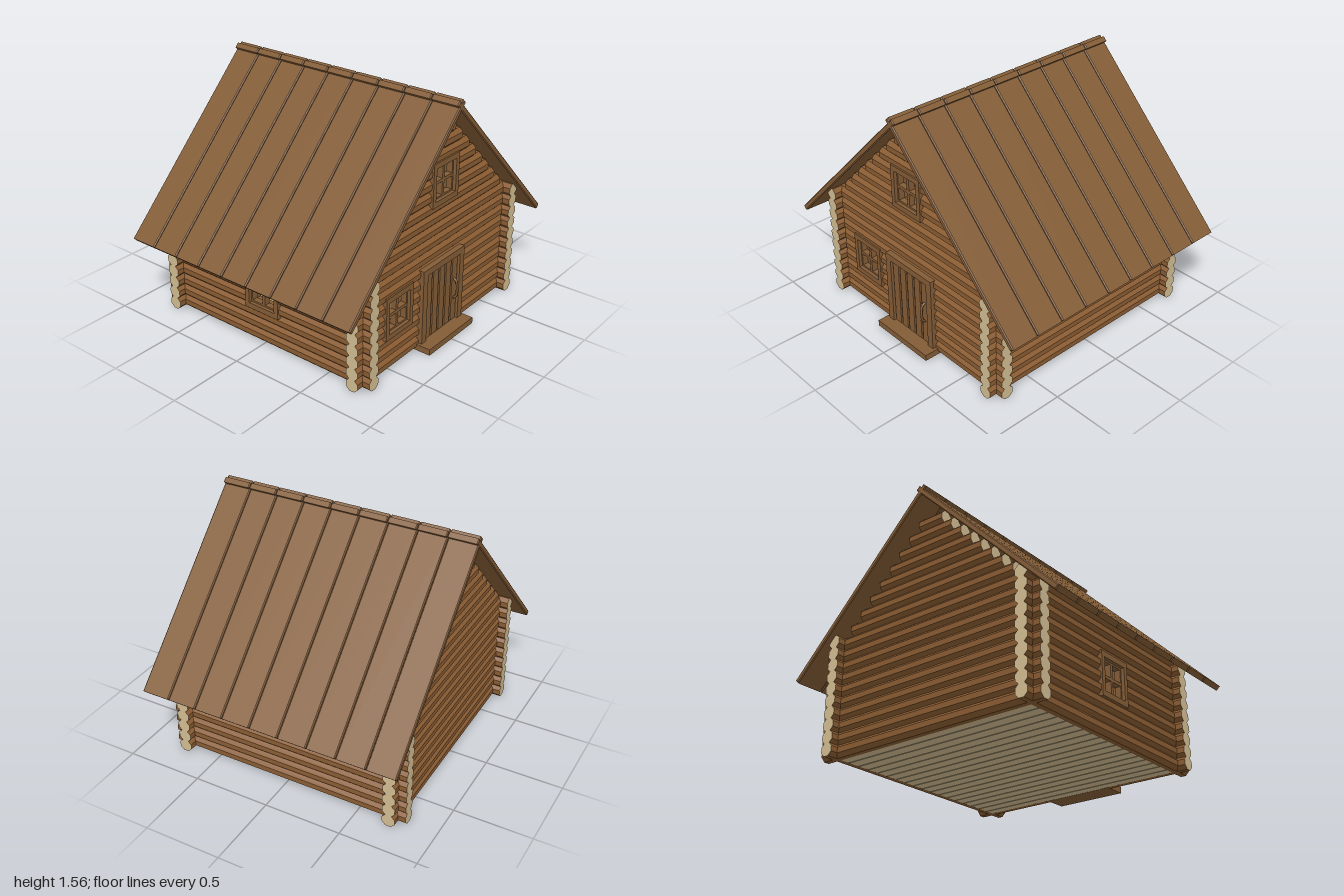
import * as THREE from 'three';

const logWood = new THREE.MeshStandardMaterial({ color: 0x8a5c32 });
logWood.name = 'log wood';
const plankWood = new THREE.MeshStandardMaterial({ color: 0x835c36 });
plankWood.name = 'plank wood';
const cutWood = new THREE.MeshStandardMaterial({ color: 0xd2bd92 });
cutWood.name = 'cut wood';

const WALL = 0.72;       // wall centre line
const LOG_END = 0.81;    // logs run past the corners
const ROW = 0.077;       // log spacing
const R = 0.045;
const rowY = (i) => 0.0425 + ROW * i;

function add(parent, name, geometry, material, x = 0, y = 0, z = 0) {
  const mesh = new THREE.Mesh(geometry, material);
  mesh.name = name;
  mesh.position.set(x, y, z);
  parent.add(mesh);
  return mesh;
}

// Eight-sided log from a to b along x or z, with pale sawn ends
function addLog(parent, name, axis, a, b, y, offset) {
  let g = new THREE.CylinderGeometry(R, R, b - a, 8, 1, false, Math.PI / 8);
  if (axis === 'x') g.rotateZ(Math.PI / 2);
  else g.rotateX(Math.PI / 2);
  g = g.toNonIndexed();
  g.computeVertexNormals();
  const mid = (a + b) / 2;
  add(parent, name, g, [logWood, cutWood, cutWood],
    axis === 'x' ? mid : offset, y, axis === 'x' ? offset : mid);
}

// A row of logs interrupted by openings [from, to]
function addRow(parent, name, axis, half, y, offset, openings) {
  let start = -half;
  for (const [from, to] of openings) {
    addLog(parent, name, axis, start, from, y, offset);
    start = to;
  }
  addLog(parent, name, axis, start, half, y, offset);
}

// Board with chamfered edges
function boardGeometry(w, h, d, b = 0.004) {
  const x = w / 2 - b, y = h / 2 - b;
  const s = new THREE.Shape([
    new THREE.Vector2(-x, -y), new THREE.Vector2(x, -y),
    new THREE.Vector2(x, y), new THREE.Vector2(-x, y)]);
  const g = new THREE.ExtrudeGeometry(s, {
    depth: d - 2 * b, bevelEnabled: true, bevelSize: b, bevelThickness: b, bevelSegments: 1 });
  return g.translate(0, 0, -d / 2 + b);
}

function rectPoints(cx, cy, w, h) {
  return [[-1, -1], [1, -1], [1, 1], [-1, 1]].map(
    ([sx, sy]) => new THREE.Vector2(cx + sx * w / 2, cy + sy * h / 2));
}

// Rectangle with rectangular holes [cx, cy, w, h], centred in depth
function pierced(w, h, holes, depth) {
  const s = new THREE.Shape(rectPoints(0, 0, w, h));
  for (const hole of holes) s.holes.push(new THREE.Path(rectPoints(...hole)));
  return new THREE.ExtrudeGeometry(s, { depth, bevelEnabled: false }).translate(0, 0, -depth / 2);
}

// Open window: deep frame and a four-pane sash
function makeWindow(name) {
  const win = new THREE.Group();
  win.name = name;
  add(win, 'windowFrame', pierced(0.26, 0.28, [[0, 0, 0.2, 0.21]], 0.104), plankWood);
  const panes = [];
  for (const sx of [-1, 1]) for (const sy of [-1, 1]) panes.push([sx * 0.05, sy * 0.052, 0.08, 0.084]);
  add(win, 'windowSash', pierced(0.205, 0.215, panes, 0.04), plankWood, 0, 0, 0.01);
  return win;
}

export function createModel() {
  const cabin = new THREE.Group();
  cabin.name = 'logCabin';

  // Side walls, with one window on the right side
  const walls = new THREE.Group();
  walls.name = 'logWalls';
  cabin.add(walls);
  for (let i = 0; i < 10; i++) {
    addRow(walls, 'leftWallLog', 'z', LOG_END, rowY(i), WALL, []);
    const open = i >= 3 && i <= 5 ? [[-0.115, 0.115]] : [];
    addRow(walls, 'rightWallLog', 'z', LOG_END, rowY(i), -WALL, open);
  }

  // Front and back walls, stepping in under the roof slope
  for (let i = 0; i < 18; i++) {
    const y = rowY(i);
    const half = i < 9 ? LOG_END : 1.485 - (y + 0.042);
    const open = [];
    if (i >= 3 && i <= 5) open.push([-0.543, -0.313]);
    if (i <= 5) open.push([-0.18, 0.18]);
    if (i >= 12 && i <= 14) open.push([-0.115, 0.115]);
    addRow(walls, 'frontWallLog', 'x', half, y, WALL, open);
    addRow(walls, 'backWallLog', 'x', half, y, -WALL, []);
  }

  // Windows
  const lower = makeWindow('lowerFrontWindow');
  lower.position.set(-0.428, 0.363, WALL);
  const upper = makeWindow('gableWindow');
  upper.position.set(0, 1.045, WALL);
  const side = makeWindow('sideWindow');
  side.position.set(-WALL, 0.363, 0);
  side.rotation.y = -Math.PI / 2;
  cabin.add(lower, upper, side);

  // Door of five boards in a frame, with handle and step
  const door = new THREE.Group();
  door.name = 'door';
  cabin.add(door);
  add(door, 'doorBacking', new THREE.BoxGeometry(0.35, 0.46, 0.03), plankWood, 0, 0.265, 0.742);
  for (let i = -2; i <= 2; i++) {
    add(door, 'doorBoard', boardGeometry(0.064, 0.455, 0.03, 0.006), plankWood, i * 0.0675, 0.267, 0.757);
  }
  for (const s of [-1, 1]) {
    add(door, 'doorJamb', new THREE.BoxGeometry(0.046, 0.5, 0.11), plankWood, s * 0.192, 0.285, 0.73);
  }
  add(door, 'doorLintel', new THREE.BoxGeometry(0.43, 0.042, 0.11), plankWood, 0, 0.514, 0.73);
  const grip = new THREE.CatmullRomCurve3([
    new THREE.Vector3(0.134, 0.2, 0.768), new THREE.Vector3(0.134, 0.215, 0.79),
    new THREE.Vector3(0.134, 0.32, 0.79), new THREE.Vector3(0.134, 0.335, 0.768)]);
  add(door, 'doorHandle', new THREE.TubeGeometry(grip, 12, 0.008, 6), plankWood);
  add(cabin, 'doorStep', new THREE.BoxGeometry(0.47, 0.04, 0.15), plankWood, 0, 0.02, 0.783);

  // Floor boards
  const floor = new THREE.Group();
  floor.name = 'floor';
  cabin.add(floor);
  const boards = 18, pitch = 1.44 / boards;
  for (let i = 0; i < boards; i++) {
    add(floor, 'floorBoard', boardGeometry(1.44, 0.03, pitch - 0.001, 0.003), cutWood,
      0, 0.016, -0.72 + pitch * (i + 0.5));
  }

  // Roof planks, crossing at the ridge
  const roof = new THREE.Group();
  roof.name = 'roof';
  cabin.add(roof);
  const plank = boardGeometry(1.436, 0.035, 0.187, 0.006);
  for (const s of [-1, 1]) {
    for (let i = -4; i <= 4; i++) {
      const p = add(roof, 'roofPlank', plank, plankWood, s * 0.4795, 1.0355, i * 0.19);
      p.rotation.z = -s * Math.PI / 4;
    }
  }
  return cabin;
}
